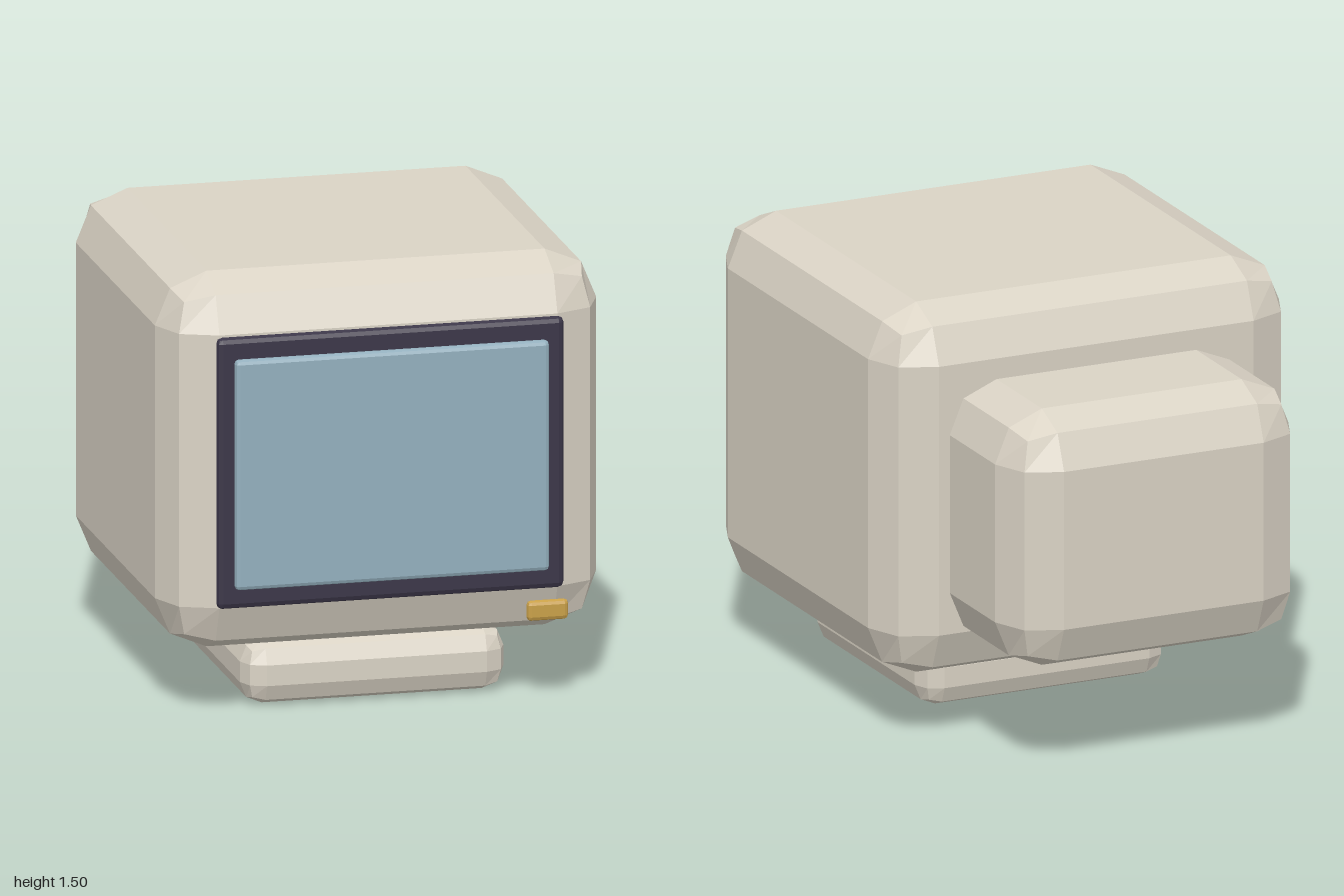
import * as THREE from 'three';

// Box with every edge rounded in two flat steps of the given radius,
// spanning the two corner points min and max.
function bevelBox(min, max, radius) {
  const lo = new THREE.Vector3(...min);
  const hi = new THREE.Vector3(...max);
  const size = hi.clone().sub(lo);
  const core = size.clone().multiplyScalar(0.5).subScalar(radius);
  const centre = lo.add(hi).multiplyScalar(0.5);

  // Three cells per side: inner grid lines stay on the flats, outer ones bend round
  const geometry = new THREE.BoxGeometry(1, 1, 1, 3, 3, 3);
  const pos = geometry.attributes.position;
  const p = new THREE.Vector3();
  const outer = (v) => (Math.abs(v) > 0.4 ? Math.sign(v) : 0);
  for (let i = 0; i < pos.count; i++) {
    p.fromBufferAttribute(pos, i);
    const bend = new THREE.Vector3(outer(p.x), outer(p.y), outer(p.z));
    bend.normalize().multiplyScalar(radius);
    p.set(Math.sign(p.x), Math.sign(p.y), Math.sign(p.z)).multiply(core);
    p.add(bend).add(centre);
    pos.setXYZ(i, p.x, p.y, p.z);
  }
  geometry.computeVertexNormals();
  return geometry;
}

export function createModel() {
  const group = new THREE.Group();
  const paint = (color) => new THREE.MeshStandardMaterial({ color, flatShading: true });
  const shell = paint(0xdad3c5);
  const dark = paint(0x3b3648);
  const glass = paint(0x94b0be);
  const amber = paint(0xc9a048);

  const add = (name, material, min, max, radius) => {
    const mesh = new THREE.Mesh(bevelBox(min, max, radius), material);
    mesh.name = name;
    group.add(mesh);
  };

  // Main casing, with the tube housing behind and the foot below
  add('casing', shell, [-0.747, 0.218, -0.484], [0.747, 1.496, 0.937], 0.175);
  add('rearHousing', shell, [-0.533, 0.365, -1], [0.533, 1.25, -0.2], 0.17);
  add('base', shell, [-0.446, 0, -0.107], [0.446, 0.218, 0.782], 0.074);

  // Screen surround, glass and power button on the front
  add('bezel', dark, [-0.587, 0.396, 0.935], [0.587, 1.318, 0.975], 0.019);
  add('screen', glass, [-0.531, 0.464, 0.95], [0.531, 1.246, 1], 0.014);
  add('powerButton', amber, [0.462, 0.288, 0.943], [0.602, 0.356, 0.975], 0.014);

  return group;
}
